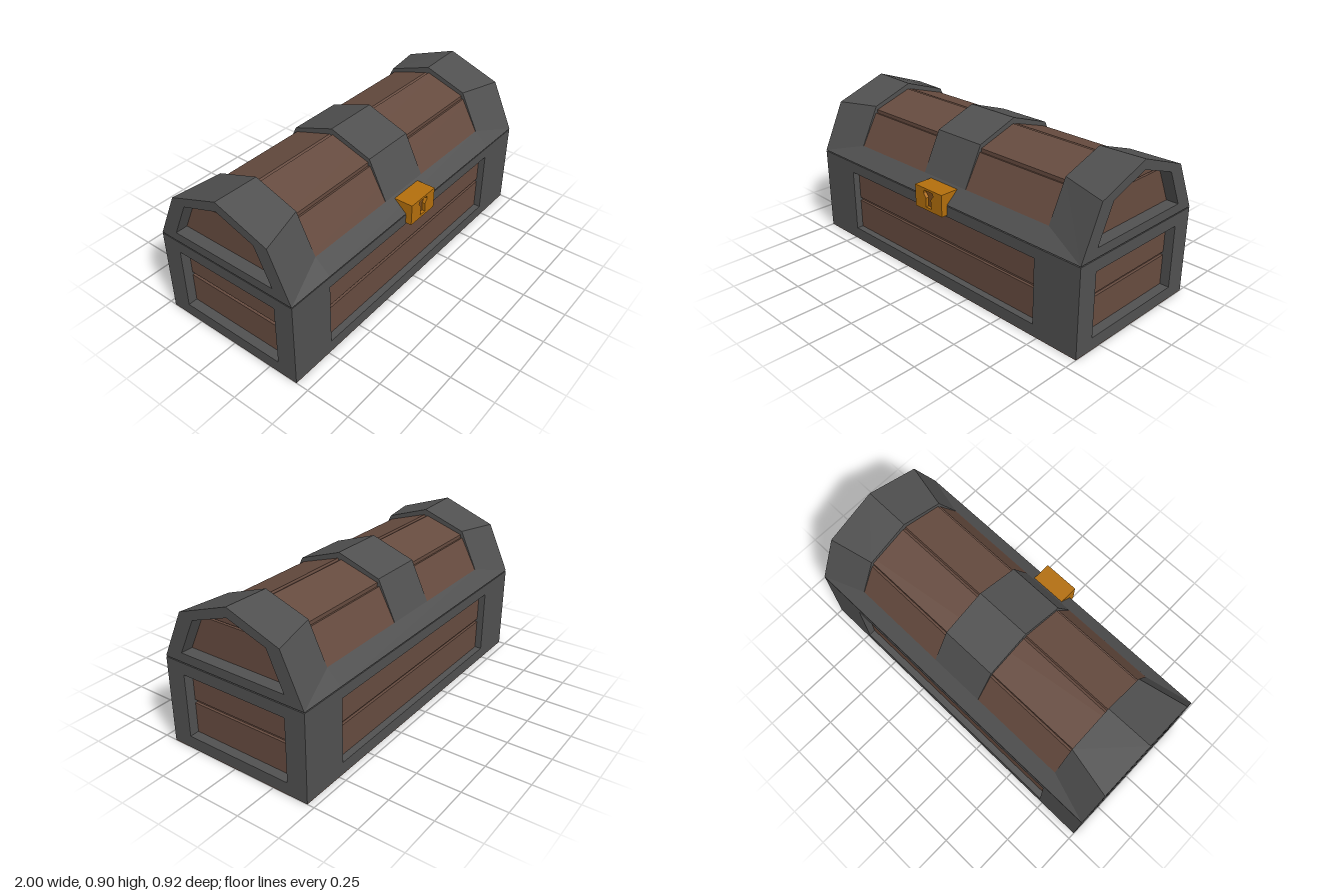
import * as THREE from 'three';

const mat = (name, color, side = THREE.FrontSide) => {
  const m = new THREE.MeshStandardMaterial({ color, side });
  m.name = name;
  return m;
};

export function createModel() {
  const iron = mat('darkIron', 0x505050, THREE.DoubleSide);
  const wood = mat('brownWood', 0x664b3f);
  const gold = mat('gold', 0xb26e0c);
  const goldShade = mat('keyholeBrown', 0x7d4e1c);
  const chest = new THREE.Group();
  chest.name = 'chest';

  const add = (name, geometry, material) => {
    const mesh = new THREE.Mesh(geometry, material);
    mesh.name = name;
    chest.add(mesh);
    return mesh;
  };
  const box = (name, material, x0, x1, y0, y1, z0, z1) =>
    add(name, new THREE.BoxGeometry(x1 - x0, y1 - y0, z1 - z0), material)
      .position.set((x0 + x1) / 2, (y0 + y1) / 2, (z0 + z1) / 2);
  const rect = (a0, a1, b0, b1) => [[a0, b0], [a1, b0], [a1, b1], [a0, b1]];
  const outline = (pts, hole) => {
    const s = new THREE.Shape(pts.map(p => new THREE.Vector2(...p)));
    if (hole) s.holes.push(new THREE.Path(hole.map(p => new THREE.Vector2(...p))));
    return s;
  };
  // Extrude an [x, y] outline along z
  const slabZ = (pts, hole, z0, z1) =>
    new THREE.ExtrudeGeometry(outline(pts, hole), { depth: z1 - z0, bevelEnabled: false }).translate(0, 0, z0);
  // Extrude a [z, y] outline along x
  const flip = pts => pts && pts.map(([z, y]) => [-z, y]);
  const slabX = (pts, hole, x0, x1) =>
    slabZ(flip(pts), flip(hole), x0, x1).rotateY(Math.PI / 2);
  const faceX = (pts, hole, x) =>
    new THREE.ShapeGeometry(outline(flip(pts), flip(hole))).rotateY(Math.PI / 2).translate(x, 0, 0);
  // Flat-faced skin between two [z, y] sections
  const loft = (a, xa, b, xb) => {
    const v = [];
    for (let i = 0; i < a.length - 1; i++) {
      const A = [xa, a[i][1], a[i][0]], B = [xb, b[i][1], b[i][0]];
      const C = [xb, b[i + 1][1], b[i + 1][0]], D = [xa, a[i + 1][1], a[i + 1][0]];
      const same = A[1] === D[1] && A[2] === D[2];
      v.push(...A, ...B, ...C);
      if (!same) v.push(...A, ...C, ...D);
    }
    const g = new THREE.BufferGeometry();
    g.setAttribute('position', new THREE.Float32BufferAttribute(v, 3));
    g.computeVertexNormals();
    return g;
  };

  const zF = 0.427, zB = -0.46, top = 0.502, seam = 0.508;

  // Body: wooden base and core, framed in iron
  box('bottomBoard', wood, -1, 1, 0, 0.004, zB, zF);
  box('bodyCore', wood, -0.93, 0.93, 0.004, seam, zB + 0.055, zF - 0.055);
  const frontHole = rect(-0.73, 0.72, 0.07, 0.44);
  add('frontFrame', slabZ(rect(-1, 1, 0.004, top), frontHole, zF - 0.05, zF), iron);
  add('backFrame', slabZ(rect(-1, 1, 0.004, top), frontHole, zB, zB + 0.05), iron);
  const sideHole = rect(-0.34, 0.31, 0.07, 0.435);
  for (const s of [-1, 1]) {
    const [x0, x1] = s > 0 ? [0.93, 1] : [-1, -0.93];
    add('sideFrame', slabX(rect(zB + 0.05, zF - 0.05, 0.004, top), sideHole, x0, x1), iron);
  }
  // Two planks per body panel with a groove between
  for (const [y0, y1] of [[0.05, 0.245], [0.265, 0.46]]) {
    box('frontPlank', wood, -0.75, 0.75, y0, y1, zF - 0.06, zF - 0.04);
    box('backPlank', wood, -0.75, 0.75, y0, y1, zB + 0.04, zB + 0.06);
    for (const s of [-1, 1])
      box('sidePlank', wood, s * 0.935 - 0.01, s * 0.935 + 0.01, y0, y1, -0.36, 0.33);
  }

  // Lid wood with grooves at the ridge and knees
  add('lidWood', slabX([
    [0.39, seam], [0.338, 0.583], [0.235, 0.765], [0.222, 0.762], [0.222, 0.783],
    [-0.015, 0.86], [-0.02, 0.848], [-0.035, 0.856],
    [-0.267, 0.783], [-0.267, 0.762], [-0.28, 0.765], [-0.378, 0.583], [-0.42, seam],
  ], null, -0.91, 0.91), wood);

  // Lid iron: tapered end bands, rails and centre band
  const endSection = [[zF, seam], [zF, seam], [0.295, 0.787], [-0.02, 0.9], [-0.33, 0.785], [zB, seam], [zB, seam]];
  const midSection = [[zF, seam], [0.34, 0.585], [0.23, 0.805], [-0.02, 0.893], [-0.275, 0.805], [-0.38, 0.585], [zB, seam]];
  const endHole = [[0.31, 0.56], [0.21, 0.765], [-0.02, 0.845], [-0.25, 0.765], [-0.345, 0.56]];
  for (const s of [-1, 1]) {
    add('endBand', loft(endSection, s, midSection, s * 0.73), iron);
    add('endBandInnerFace', faceX(midSection, null, s * 0.73), iron);
    add('lidEndFrame', faceX(endSection.slice(1, 6), endHole, s), iron);
    add('lidEndReveal', loft([...endHole, endHole[0]], s, [...endHole, endHole[0]], s * 0.91), iron);
    // Planks set into the lid end
    const [x0, x1] = s > 0 ? [0.9, 0.93] : [-0.93, -0.9];
    add('lidEndLowerPlank', slabX([[0.31, 0.56], [0.215, 0.758], [-0.253, 0.758], [-0.345, 0.56]], null, x0, x1), wood);
    add('lidEndUpperPlank', slabX([[0.205, 0.768], [-0.02, 0.845], [-0.245, 0.768]], null, x0, x1), wood);
  }
  for (const i of [0, 5]) {
    const strip = midSection.slice(i, i + 2);
    add('lidRail', loft(strip, -0.73, strip, 0.73), iron);
  }
  add('centreBand', slabX(midSection.slice(1, 6), null, -0.17, 0.155), iron);
  add('lidUnderside', new THREE.PlaneGeometry(2, zF - zB).rotateX(Math.PI / 2)
    .translate(0, seam, (zF + zB) / 2), iron);

  // Lock with a recessed keyhole
  const keyhole = [[-0.022, 0.468], [0.022, 0.468], [0.018, 0.52], [0.038, 0.545], [0.034, 0.562], [-0.034, 0.562], [-0.038, 0.545], [-0.018, 0.52]];
  box('lockBlock', gold, -0.105, 0.105, 0.45, 0.575, 0.35, 0.44);
  add('lockFace', slabZ(rect(-0.105, 0.105, 0.45, 0.575), keyhole, 0.44, 0.463), gold);
  add('keyhole', slabZ(keyhole, null, 0.438, 0.445), goldShade);

  return chest;
}
